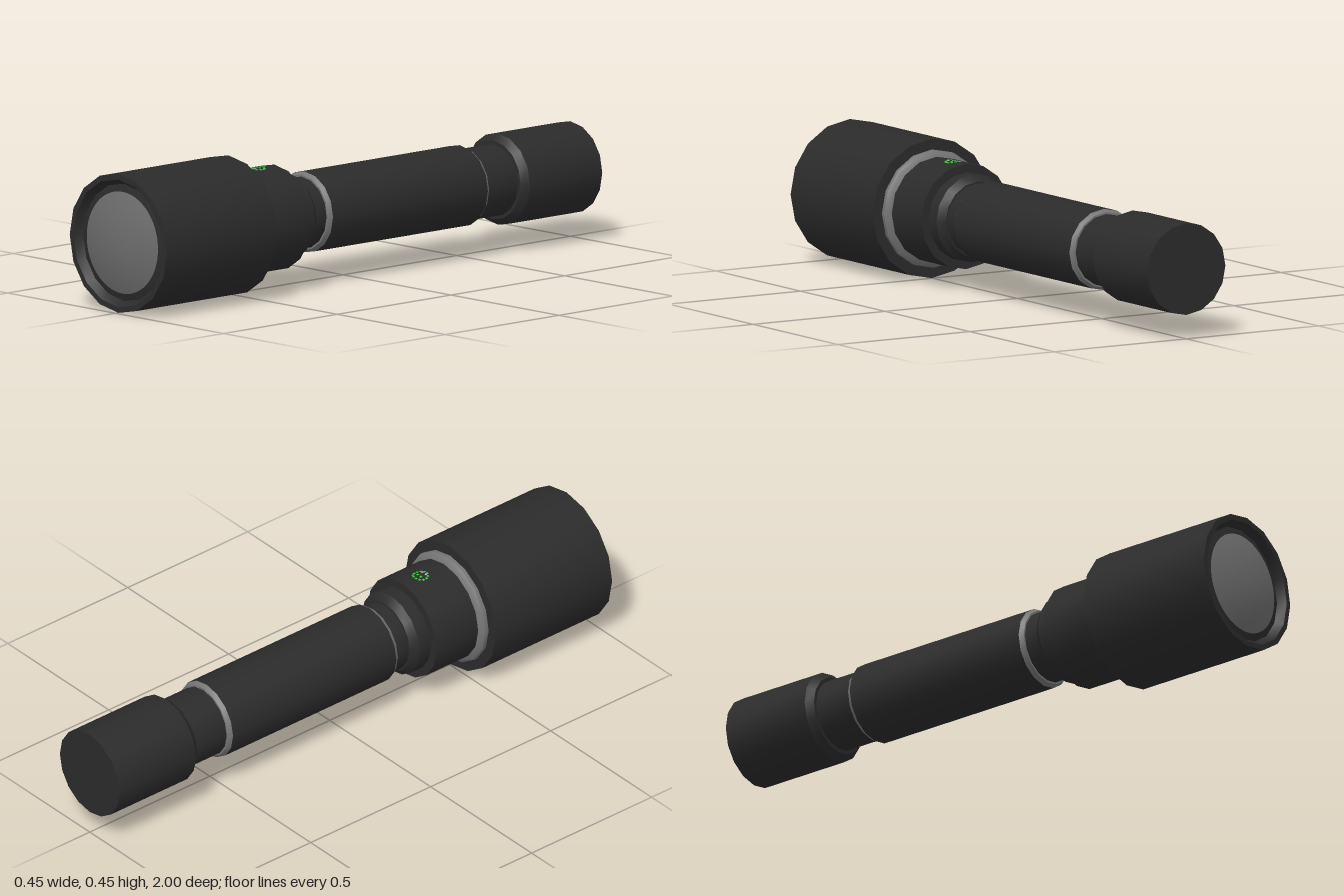
import * as THREE from 'three';
import { toCreasedNormals } from 'three/addons/utils/BufferGeometryUtils.js';

const AXIS_Y = 0.225; // height of the torch's long axis
const COLLAR_R = 0.17;

export function createModel() {
  const group = new THREE.Group();
  group.name = 'flashlight';

  const makeMaterial = (name, color) => {
    const m = new THREE.MeshStandardMaterial({ color });
    m.name = name;
    return m;
  };
  const black = makeMaterial('black casing', 0x2b2b2b);
  const steel = makeMaterial('steel trim', 0x757575);
  const glass = makeMaterial('grey lens', 0x6c6c6c);
  const green = makeMaterial('green indicator', 0x2fd02f);
  const pale = makeMaterial('pale indicator', 0xb8b8b8);

  // Turned part: profile of [radius, z] points running from back to front
  function turned(name, profile, material, sides = 16) {
    const points = profile.map(([r, z]) => new THREE.Vector2(r, z));
    let geo = new THREE.LatheGeometry(points, sides);
    geo.rotateX(Math.PI / 2);
    geo = toCreasedNormals(geo, 0.5);
    const mesh = new THREE.Mesh(geo, material);
    mesh.name = name;
    mesh.position.y = AXIS_Y;
    group.add(mesh);
  }

  turned('tailCap', [[0, -1], [0.148, -1], [0.148, -0.682], [0.128, -0.66], [0.116, -0.66]], black);
  turned('rearNeck', [[0.116, -0.66], [0.116, -0.527]], black);
  turned('rearTrim', [[0.116, -0.527], [0.122, -0.527], [0.131, -0.513]], steel);
  turned('grip', [[0.131, -0.513], [0.131, 0.168]], black);
  turned('frontTrim', [[0.131, 0.168], [0.122, 0.182], [0.116, 0.182]], steel);
  turned('frontNeck', [[0.116, 0.182], [0.116, 0.232]], black);
  turned('neckFlare', [[0.116, 0.232], [0.122, 0.232], [0.142, 0.256], [0.142, 0.302]], black);
  turned('collar', [[0.142, 0.302], [COLLAR_R, 0.302], [COLLAR_R, 0.48]], black);
  turned('headTrim', [[COLLAR_R, 0.476], [0.18, 0.48], [0.19, 0.49], [0.19, 0.505]], steel);

  // Head with its bevelled, recessed mouth
  turned('head', [
    [0.188, 0.503], [0.225, 0.503], [0.225, 0.988], [0.207, 0.988],
    [0.19, 0.962], [0.155, 0.971],
  ], black);

  // Shallow domed lens
  const dome = [];
  for (let i = 8; i >= 0; i--) {
    const r = 0.165 * i / 8;
    dome.push([r, 1 - 0.03 * (r / 0.165) ** 2]);
  }
  turned('lens', dome, glass, 64);

  // Tiny indicator dots lying on the faceted top of the collar
  function dot(name, x, z, size, material) {
    const mesh = new THREE.Mesh(new THREE.BoxGeometry(size, 0.003, size), material);
    const slope = Math.PI / 16;
    mesh.name = name;
    mesh.position.set(x, AXIS_Y + COLLAR_R - Math.abs(x) * Math.tan(slope), z);
    mesh.rotation.z = -Math.sign(x) * slope;
    group.add(mesh);
  }
  for (let i = 0; i < 12; i++) {
    const a = (i + 0.5) * Math.PI / 6;
    dot('indicatorDot', 0.024 * Math.sin(a), 0.378 + 0.024 * Math.cos(a), 0.007, green);
  }
  for (const x of [-0.008, 0.008]) {
    dot('indicatorDot', x, 0.374, 0.007, green);
    dot('indicatorMark', x, 0.394, 0.006, pale);
  }

  return group;
}
